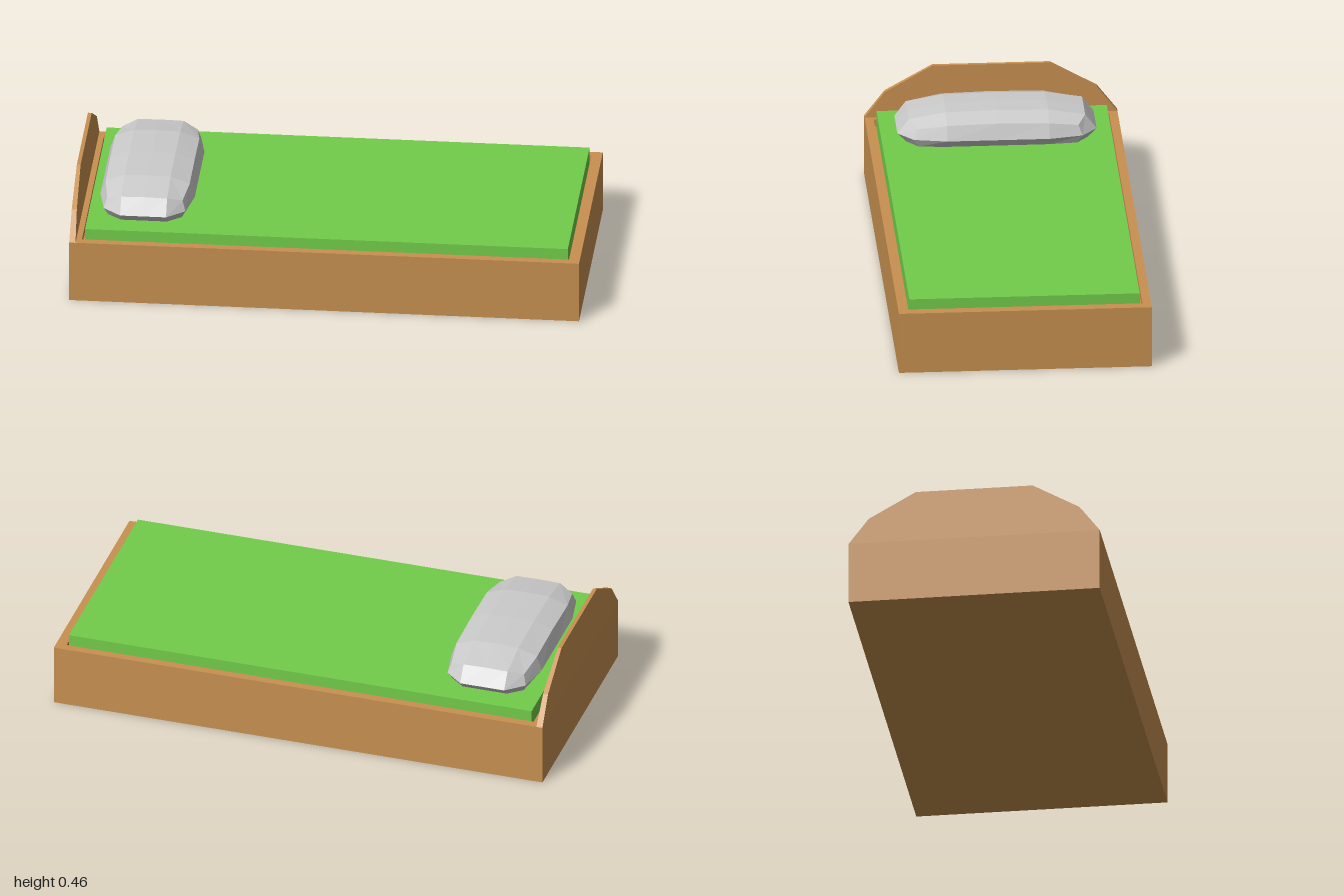
import * as THREE from 'three';

const paint = (color) => new THREE.MeshStandardMaterial({ color, flatShading: true });

function add(group, name, geometry, material) {
  const mesh = new THREE.Mesh(geometry, material);
  mesh.name = name;
  group.add(mesh);
  return mesh;
}

// Rectangular outline used for the frame and its recess
function rectangle(Type, x0, x1, z) {
  return new Type([[x0, -z], [x1, -z], [x1, z], [x0, z]].map(([x, y]) => new THREE.Vector2(x, y)));
}

// Faceted headboard, slightly thinner towards its top
function headboardGeometry() {
  const half = [[0.495, 0.25], [0.415, 0.355], [0.23, 0.46]];
  const outline = [...half, ...half.slice().reverse().map(([z, y]) => [-z, y])];
  const shape = new THREE.Shape(outline.map(([z, y]) => new THREE.Vector2(z, y)));
  const geo = new THREE.ExtrudeGeometry(shape, { depth: 0.025, bevelEnabled: false });
  geo.rotateY(-Math.PI / 2).translate(-0.975, 0, 0);
  const p = geo.attributes.position;
  for (let i = 0; i < p.count; i++) {
    const t = (p.getY(i) - 0.25) / 0.21;
    p.setX(i, p.getX(i) + (p.getX(i) < -0.99 ? 0.005 : -0.005) * t);
  }
  geo.computeVertexNormals();
  return geo;
}

// Pillow: stacked 16-sided rings closed by 5 x 5 grids whose borders match the rings
function pillowGeometry() {
  // Each level: end middle, end, corner, side, side middle as [x, y, z]
  const levels = [
    [[0, 0.265, 0.32], [0.08, 0.265, 0.32], [0.12, 0.27, 0.29], [0.13, 0.265, 0.19], [0.13, 0.265, 0]],
    [[0, 0.29, 0.355], [0.09, 0.29, 0.355], [0.145, 0.29, 0.31], [0.155, 0.29, 0.2], [0.155, 0.29, 0]],
    [[0, 0.325, 0.39], [0.09, 0.325, 0.39], [0.16, 0.325, 0.33], [0.185, 0.325, 0.2], [0.185, 0.325, 0]],
    [[0, 0.387, 0.345], [0.09, 0.385, 0.345], [0.148, 0.365, 0.315], [0.165, 0.382, 0.2], [0.165, 0.387, 0]],
  ];
  // Point of a level at grid position i (across x) and j (along z), both -2..2
  const border = (level, i, j) => {
    const a = Math.abs(i), b = Math.abs(j);
    const [x, y, z] = level[b === 2 ? a : 4 - b];
    return [Math.sign(i) * x, y, Math.sign(j) * z];
  };
  const cap = (level, crown, i, j) => {
    const a = Math.abs(i), b = Math.abs(j);
    if (a === 2 || b === 2) return border(level, i, j);
    return [i * 0.09, crown - 0.003 * a - 0.004 * b, j * 0.2];
  };
  const walk = [];
  for (let k = -2; k < 2; k++) walk.push([k, 2]);
  for (let k = 2; k > -2; k--) walk.push([2, k]);
  for (let k = 2; k > -2; k--) walk.push([k, -2]);
  for (let k = -2; k < 2; k++) walk.push([-2, k]);

  const out = [];
  const quad = (a, b, c, d) => out.push(...a, ...b, ...c, ...a, ...c, ...d);
  for (let l = 0; l < levels.length - 1; l++) {
    walk.forEach((p, n) => {
      const q = walk[(n + 1) % walk.length];
      quad(border(levels[l], ...p), border(levels[l], ...q), border(levels[l + 1], ...q), border(levels[l + 1], ...p));
    });
  }
  for (let i = -2; i < 2; i++) {
    for (let j = -2; j < 2; j++) {
      const top = (u, v) => cap(levels[3], 0.416, u, v);
      const low = (u, v) => cap(levels[0], 0.265, u, v);
      quad(top(i, j), top(i, j + 1), top(i + 1, j + 1), top(i + 1, j));
      quad(low(i, j), low(i + 1, j), low(i + 1, j + 1), low(i, j + 1));
    }
  }
  const geo = new THREE.BufferGeometry();
  geo.setAttribute('position', new THREE.Float32BufferAttribute(out, 3));
  geo.computeVertexNormals();
  return geo;
}

export function createModel() {
  const bed = new THREE.Group();
  bed.name = 'bed';
  const wood = paint(0xc89050);
  const green = paint(0x72cc4a);

  // Frame with a recess that holds the mattress
  const outline = rectangle(THREE.Shape, -1, 1, 0.495);
  outline.holes.push(rectangle(THREE.Path, -0.953, 0.958, 0.461));
  const frame = new THREE.ExtrudeGeometry(outline, { depth: 0.25, bevelEnabled: false });
  add(bed, 'frame', frame.rotateX(-Math.PI / 2), wood);
  add(bed, 'frameFloor', new THREE.BoxGeometry(1.911, 0.22, 0.922), wood).position.set(0.0025, 0.11, 0);

  add(bed, 'headboard', headboardGeometry(), wood);

  add(bed, 'mattress', new THREE.BoxGeometry(1.894, 0.07, 0.902), green).position.set(0.005, 0.255, 0);

  add(bed, 'pillow', pillowGeometry(), paint(0xcccccc)).position.x = -0.72;
  return bed;
}
